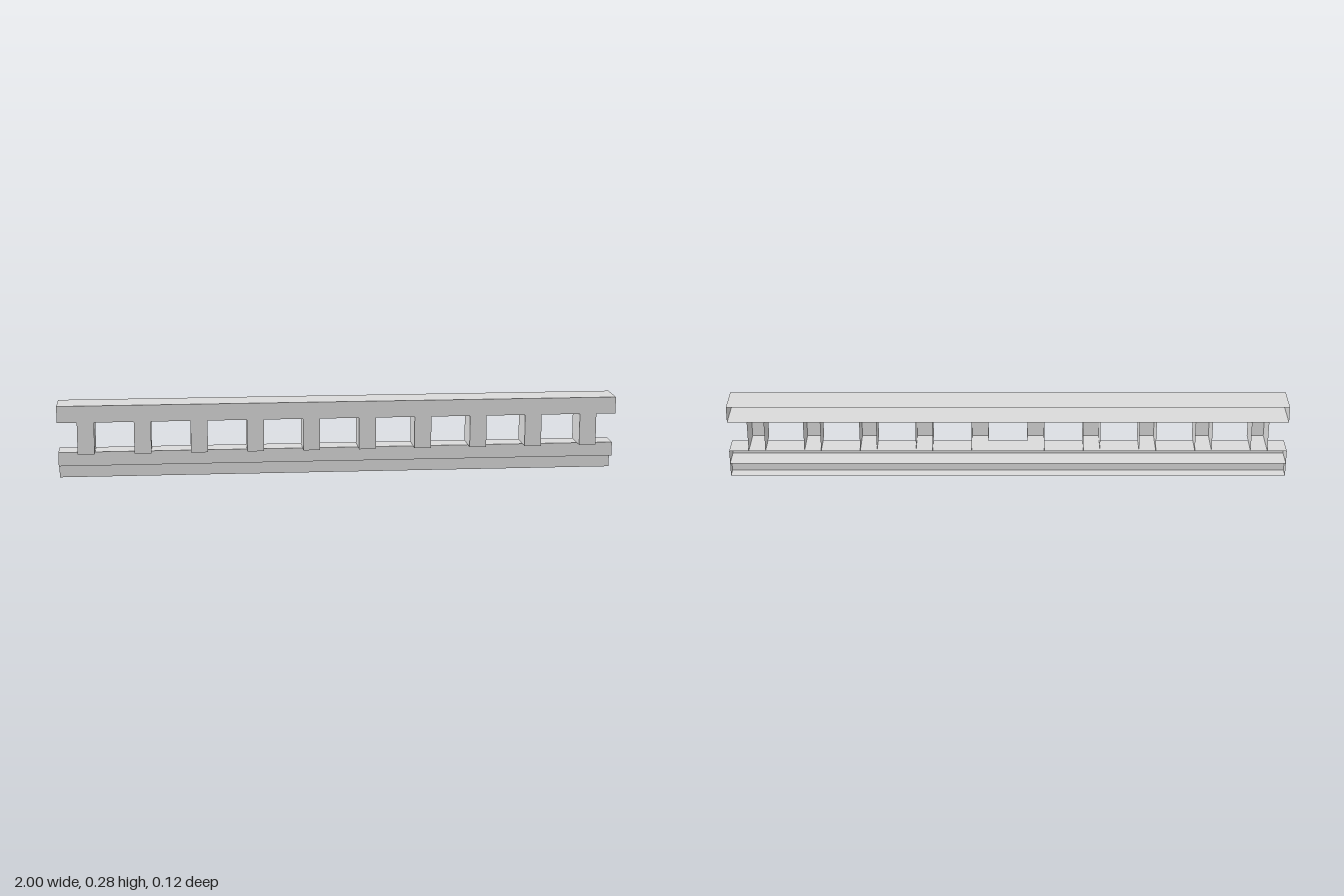
import * as THREE from 'three';

const LENGTH = 2;
const BACK = -0.06, FRONT = 0.06;
const STEP = 0.05, SHELF_TOP = 0.1, RAIL_BOTTOM = 0.215, RAIL_TOP = 0.275;

// Sweeps an open profile straight from a to b.
function sweep(profile, a, b, place) {
  const points = [];
  for (let i = 0; i < profile.length - 1; i++) {
    const [p, q] = [profile[i], profile[i + 1]];
    const [A, B, C, D] = [place(p, a), place(q, a), place(q, b), place(p, b)];
    points.push(...A, ...C, ...B, ...A, ...D, ...C);
  }
  const geometry = new THREE.BufferGeometry();
  geometry.setAttribute('position', new THREE.Float32BufferAttribute(points, 3));
  geometry.computeVertexNormals();
  return geometry;
}

const alongX = ([z, y], x) => [x, y, z];
const alongY = ([x, z], y) => [x, y, z];

export function createModel() {
  const model = new THREE.Group();
  model.name = 'dentilCornice';
  // Every part is a thin shell, open at the back
  const stone = new THREE.MeshStandardMaterial({ color: 0xd9d9d9, side: THREE.DoubleSide });
  stone.name = 'stone grey';

  const add = (parent, name, geometry) => {
    const mesh = new THREE.Mesh(geometry, stone);
    mesh.name = name;
    parent.add(mesh);
    return mesh;
  };

  // A long square moulding with an open back and a cap on each end
  function moulding(name, front, bottom, top) {
    const group = new THREE.Group();
    group.name = name;
    const profile = [[BACK, bottom], [front, bottom], [front, top], [BACK, top]];
    add(group, name + 'Shell', sweep(profile, -LENGTH / 2, LENGTH / 2, alongX));
    for (const side of [-1, 1]) {
      const cap = add(group, name + (side > 0 ? 'LeftCap' : 'RightCap'),
        new THREE.PlaneGeometry(front - BACK, top - bottom));
      cap.rotation.y = side * Math.PI / 2;
      cap.position.set(side * LENGTH / 2, (top + bottom) / 2, (front + BACK) / 2);
    }
    model.add(group);
  }

  // Top rail and the two steps under the blocks
  moulding('topRail', FRONT, RAIL_BOTTOM, RAIL_TOP);
  moulding('upperStep', 0.02, STEP, SHELF_TOP);
  moulding('lowerStep', -0.02, 0, STEP);

  // Row of ten hollow blocks, open at the back
  const half = 0.03;
  const wallGeometry = sweep(
    [[half, BACK], [half, FRONT], [-half, FRONT], [-half, BACK]],
    SHELF_TOP, RAIL_BOTTOM, alongY);
  const undersideGeometry = sweep([[0.02, SHELF_TOP], [FRONT, SHELF_TOP]], -half, half, alongX);
  for (let i = 0; i < 10; i++) {
    const block = new THREE.Group();
    block.name = 'dentil' + (i + 1);
    add(block, 'dentilWalls', wallGeometry);
    add(block, 'dentilUnderside', undersideGeometry);
    block.position.x = -0.9 + i * 0.2;
    model.add(block);
  }
  return model;
}
